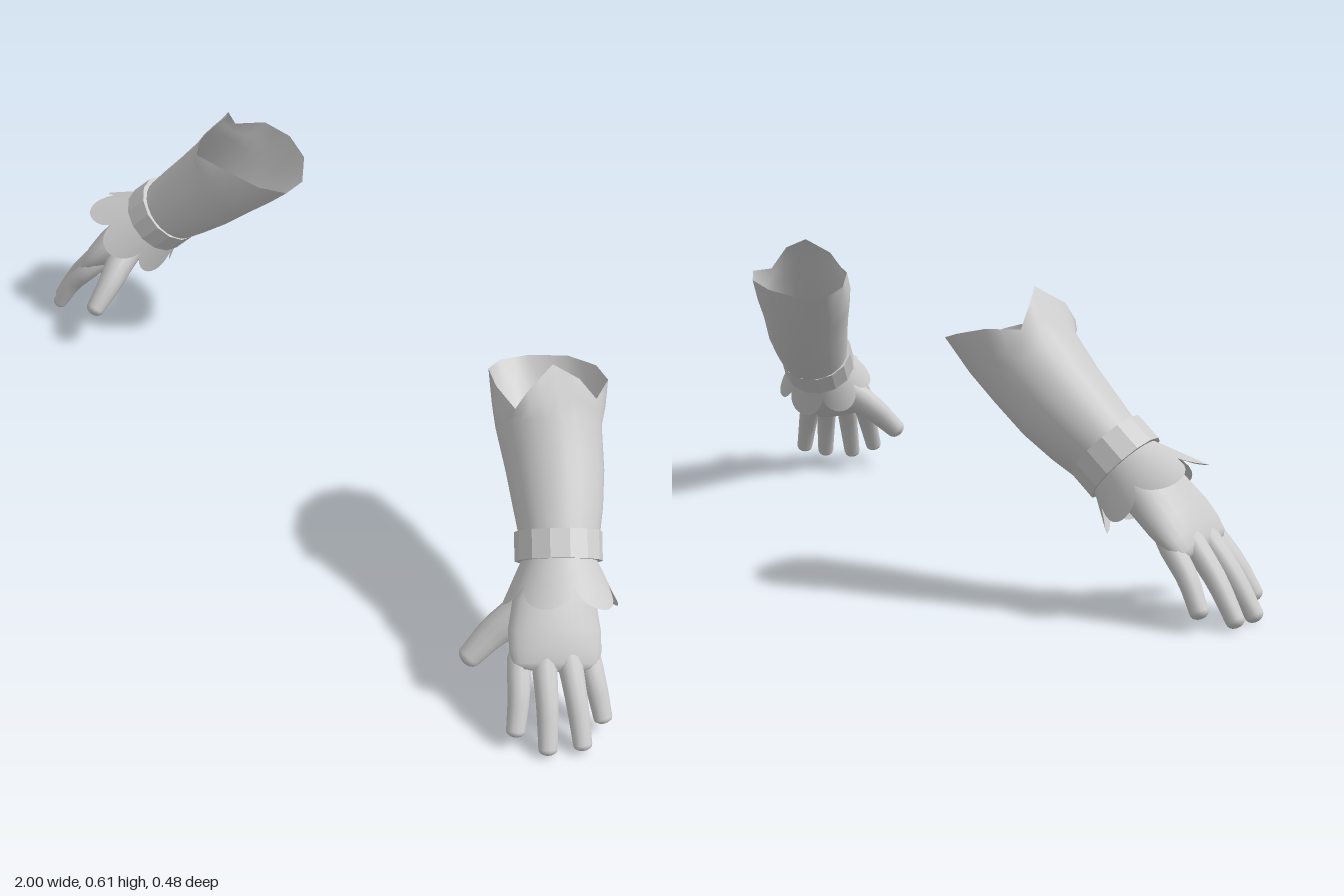
import * as THREE from 'three';

const V = (x, y, z) => new THREE.Vector3(x, y, z);
const AXIS = V(0.6, -0.7, 0.42).normalize();      // elbow to fingers
const BACK = V(0.66, 0.72, 0.25);                 // out of the back of the hand
BACK.addScaledVector(AXIS, -BACK.dot(AXIS)).normalize();
const SIDE = AXIS.clone().cross(BACK);            // towards the thumb

const material = new THREE.MeshStandardMaterial({ color: 0xcccccc, side: THREE.DoubleSide });
const facetedMaterial = new THREE.MeshStandardMaterial({ color: 0xcccccc, side: THREE.DoubleSide, flatShading: true });

// Elliptical section in the plane of two directions
function ring(c, rs, rb, n, side = SIDE, back = BACK) {
  return Array.from({ length: n }, (_, j) => {
    const a = (j / n) * Math.PI * 2;
    return c.clone().addScaledVector(back, rb * Math.cos(a)).addScaledVector(side, rs * Math.sin(a));
  });
}

// Skin over closed sections of equal point count
function loft(rings) {
  const n = rings[0].length, index = [];
  for (let i = 0; i < rings.length - 1; i++) {
    for (let j = 0; j < n; j++) {
      const k = (j + 1) % n, a = i * n + j, b = i * n + k, c = b + n, d = a + n;
      index.push(a, b, c, a, c, d);
    }
  }
  const geo = new THREE.BufferGeometry().setFromPoints(rings.flat());
  geo.setIndex(index);
  geo.computeVertexNormals();
  return geo;
}

// Tapered limb with a blunt rounded tip along a curve
function limb(points, r0, r1) {
  const curve = new THREE.CatmullRomCurve3(points), len = curve.getLength(), rings = [];
  const cap = 1 - (0.7 * r1) / len;
  const stops = [0, 0.15, 0.3, 0.45, 0.6, 0.75].map((t) => t * cap);
  for (let i = 0; i <= 5; i++) stops.push(cap + (1 - cap) * Math.sin((i / 5) * Math.PI / 2));
  for (const t of stops) {
    const dir = curve.getTangentAt(t);
    const back = BACK.clone().addScaledVector(dir, -BACK.dot(dir)).normalize();
    const side = dir.clone().cross(back);
    const u = t > cap ? (t - cap) / (1 - cap) : 0;
    const r = (r0 + (r1 - r0) * Math.min(1, t / cap)) * Math.sqrt(Math.max(0, 1 - u * u));
    rings.push(ring(curve.getPointAt(t), r, r * 0.9, 12, side, back));
  }
  return loft(rings);
}

// Flared sleeve whose rim rises to a point over the back of the arm
function sleeve() {
  const rimPoints = [
    [0.585, 0.61, -0.09], [0.59, 0.575, -0.025], [0.585, 0.54, 0], [0.50, 0.535, -0.02],
    [0.42, 0.51, -0.065], [0.39, 0.49, -0.12], [0.41, 0.49, -0.178], [0.475, 0.506, -0.228],
    [0.55, 0.522, -0.239], [0.615, 0.537, -0.213], [0.65, 0.537, -0.153], [0.63, 0.588, -0.122],
  ].map((p) => V(...p));
  const rim = rimPoints.flatMap((p, i) => [p, p.clone().lerp(rimPoints[(i + 1) % 12], 0.5)]);
  const body = [
    [0.585, 0.455, -0.09, 0.106], [0.643, 0.393, -0.063, 0.098],
    [0.692, 0.344, -0.034, 0.089], [0.728, 0.308, -0.01, 0.08], [0.75, 0.285, 0.01, 0.073],
  ].map(([x, y, z, r]) => ring(V(x, y, z), r, r * 0.97, 24));
  const between = rim.map((p, j) => p.clone().lerp(body[0][j], 0.55)
    .addScaledVector(p.clone().sub(V(0.53, 0.52, -0.115)).normalize(), 0.004));
  return loft([rim, between, ...body]);
}

// Faceted wrist band
function band() {
  const c = V(0.742, 0.296, 0.003);
  const section = [[-0.03, 0.072], [-0.03, 0.086], [0.028, 0.086], [0.028, 0.068]];
  return loft(section.map(([s, r]) => ring(c.clone().addScaledVector(AXIS, s), r + 0.001, r - 0.001, 14)));
}

// Flared wrist ruffle cut into six rounded lobes, shorter under the palm
function ruffle() {
  const c = V(0.75, 0.288, 0.008), n = 72, rings = [];
  for (let i = 0; i <= 4; i++) {
    const t = i / 4;
    rings.push(Array.from({ length: n }, (_, j) => {
      const a = (j / n) * Math.PI * 2 + 0.08;
      const lobe = Math.sqrt(Math.abs(Math.sin(3 * a)));
      const reach = t * (0.052 + 0.05 * lobe + 0.018 * Math.cos(a));
      const r = 0.068 + reach * 0.46;
      return c.clone().addScaledVector(AXIS, reach)
        .addScaledVector(BACK, r * Math.cos(a)).addScaledVector(SIDE, r * Math.sin(a));
    }));
  }
  return loft(rings);
}

// Palm widening to the knuckles
function palm() {
  const sections = [
    [0.745, 0.295, 0, 0.001, 0.001], [0.745, 0.295, 0, 0.06, 0.054], [0.772, 0.267, 0.026, 0.066, 0.052],
    [0.803, 0.23, 0.06, 0.084, 0.049], [0.838, 0.19, 0.085, 0.094, 0.042], [0.862, 0.163, 0.1, 0.093, 0.033],
    [0.877, 0.145, 0.11, 0.087, 0.024], [0.884, 0.137, 0.114, 0.076, 0.015], [0.887, 0.133, 0.116, 0.001, 0.001],
  ];
  return loft(sections.map(([x, y, z, s, b]) => ring(V(x, y, z), s, b, 24)));
}

// Finger from inside the palm to its tip, slightly arched
function finger(knuckle, tip) {
  const k = V(...knuckle), t = V(...tip);
  const root = k.clone().lerp(V(0.79, 0.25, 0.05), 0.35);
  const mid = k.clone().lerp(t, 0.5).addScaledVector(BACK, 0.008);
  return limb([root, k, mid, t], 0.028, 0.0195);
}

export function createModel() {
  const model = new THREE.Group();
  const parts = [
    ['sleeve', sleeve()],
    ['wristBand', band(), facetedMaterial],
    ['wristRuffle', ruffle()],
    ['palm', palm()],
    ['indexFinger', finger([0.828, 0.155, 0.16], [0.90, 0.029, 0.224])],
    ['middleFinger', finger([0.86, 0.16, 0.126], [0.958, 0.005, 0.187])],
    ['ringFinger', finger([0.88, 0.16, 0.083], [0.99, 0.008, 0.124])],
    ['littleFinger', finger([0.884, 0.15, 0.04], [0.97, 0.027, 0.056])],
    ['thumb', limb([V(0.79, 0.23, 0.05), V(0.765, 0.195, 0.11), V(0.742, 0.15, 0.165), V(0.731, 0.095, 0.222)], 0.046, 0.024)],
  ];
  for (const name of ['leftGauntlet', 'rightGauntlet']) {
    const gauntlet = new THREE.Group();
    gauntlet.name = name;
    for (const [part, geo, mat = material] of parts) {
      let g = geo;
      if (name === 'rightGauntlet') {
        // Mirror across x and turn the faces back outwards
        g = geo.clone().scale(-1, 1, 1);
        g.setIndex(Array.from(geo.index.array).reverse());
        g.computeVertexNormals();
      }
      const mesh = new THREE.Mesh(g, mat);
      mesh.name = part;
      gauntlet.add(mesh);
    }
    model.add(gauntlet);
  }
  return model;
}
